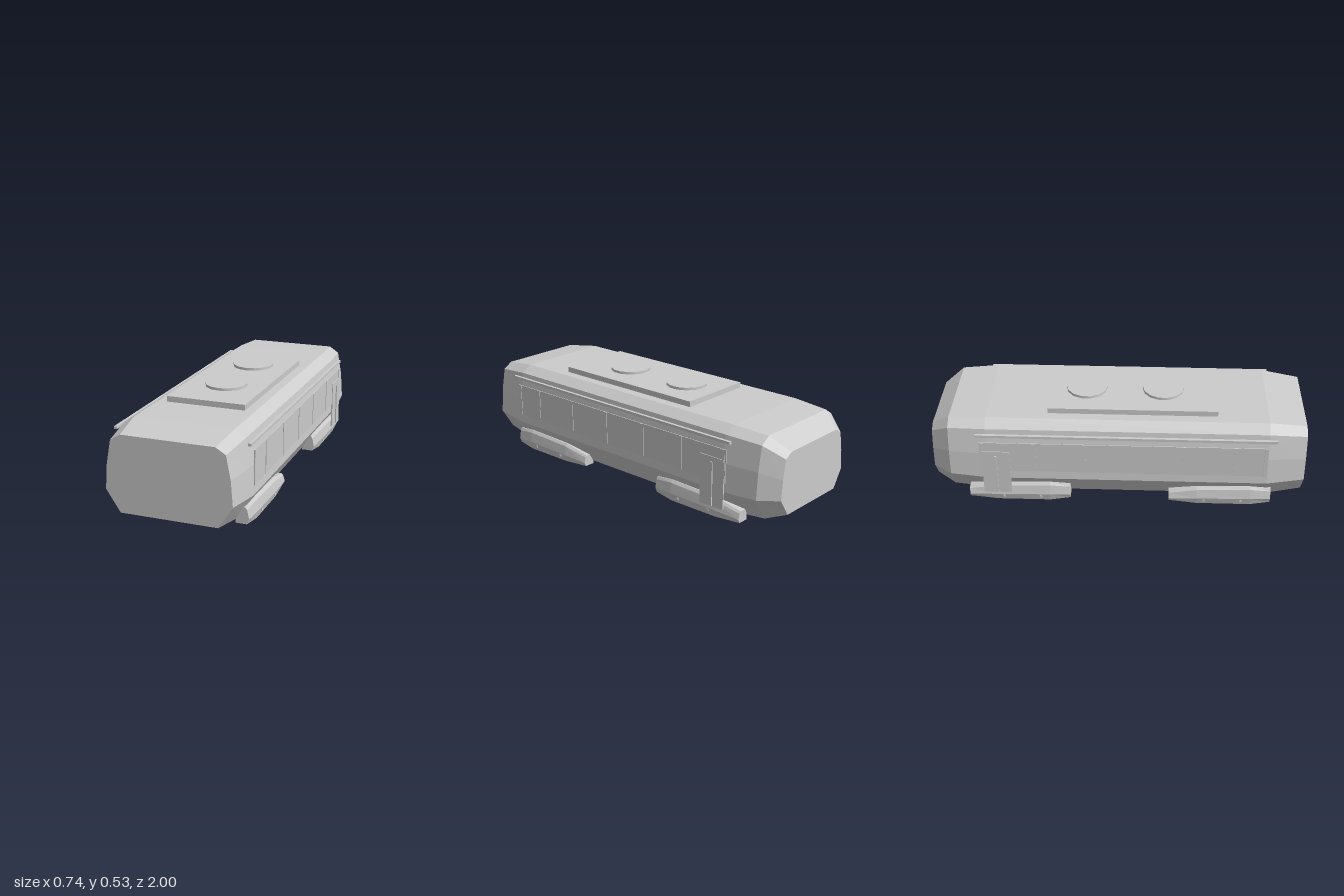
import * as THREE from 'three';

// Closed flat-faced loft; rings run counter-clockwise seen from +z, listed front to back
function loft(rings) {
  const n = rings[0].length, pos = [];
  const tri = (...pts) => pts.forEach(p => pos.push(...p));
  for (let s = 0; s < rings.length - 1; s++) {
    for (let i = 0; i < n; i++) {
      const j = (i + 1) % n;
      const a = rings[s][i], b = rings[s][j], c = rings[s + 1][j], d = rings[s + 1][i];
      tri(a, d, b);
      tri(b, d, c);
    }
  }
  const f = rings[0], r = rings[rings.length - 1];
  for (let i = 1; i < n - 1; i++) {
    tri(f[0], f[i], f[i + 1]);
    tri(r[0], r[i + 1], r[i]);
  }
  const g = new THREE.BufferGeometry();
  g.setAttribute('position', new THREE.Float32BufferAttribute(pos, 3));
  g.computeVertexNormals();
  return g;
}

export function createModel() {
  const model = new THREE.Group();
  model.name = 'hoverBus';
  const grey = new THREE.MeshStandardMaterial({ color: 0xcccccc });
  grey.name = 'lightGrey';

  const add = (name, geometry, parent = model) => {
    const m = new THREE.Mesh(geometry, grey);
    m.name = name;
    parent.add(m);
    return m;
  };
  // Box given by its minimum and maximum corners
  const box = (name, x0, x1, y0, y1, z0, z1, parent) =>
    add(name, new THREE.BoxGeometry(x1 - x0, y1 - y0, z1 - z0), parent)
      .position.set((x0 + x1) / 2, (y0 + y1) / 2, (z0 + z1) / 2);

  // Hull: one half profile, mirrored and scaled along the length
  const half = [[0.277, 0.025], [0.358, 0.155], [0.347, 0.305], [0.322, 0.446], [0.265, 0.483]];
  const profile = [...half, ...half.map(([x, y]) => [-x, y]).reverse()];
  const stations = [ // z, width scale, height scale, centre height
    [1, 0.92, 0.88, 0.254], [0.8, 1, 1, 0.254], [-0.7, 1, 1, 0.254],
    [-0.9, 0.94, 0.95, 0.254], [-1, 0.75, 0.72, 0.235],
  ];
  add('hull', loft(stations.map(([z, sx, sy, cy]) =>
    profile.map(([x, y]) => [x * sx, cy + (y - 0.254) * sy, z]))));

  // Roof unit with two round vents
  box('roofUnit', -0.213, 0.213, 0.47, 0.513, -0.375, 0.53);
  for (const z of [0.24, -0.175]) {
    add('roofVent', new THREE.CylinderGeometry(0.112, 0.112, 0.03, 14)).position.set(0, 0.512, z);
  }

  // Skid pod sections
  const full = [[0.27, 0], [0.345, 0], [0.357, 0.045], [0.347, 0.1], [0.335, 0.115], [0.28, 0.115]];
  const end = [[0.276, 0.012], [0.335, 0.012], [0.346, 0.04], [0.337, 0.085], [0.328, 0.1], [0.285, 0.1]];

  for (const side of [1, -1]) {
    const g = new THREE.Group();
    g.name = side > 0 ? 'leftSide' : 'rightSide';
    model.add(g);
    const sx = (a, b) => side > 0 ? [a, b] : [-b, -a];
    const sideBox = (name, x0, x1, ...rest) => box(name, ...sx(x0, x1), ...rest, g);

    // Skid pods, lower towards the back
    for (const z of [0.83, -0.255]) {
      const ring = (pts, dz, sy) => {
        const r = pts.map(([x, y]) => [side * x, y * sy, z - dz]);
        return side > 0 ? r : r.reverse();
      };
      add('skidPod', loft([ring(end, 0, 1), ring(full, 0.11, 1), ring(full, 0.4, 0.9), ring(end, 0.55, 0.7)]), g);
      for (const dz of [0.16, 0.36]) sideBox('skidStud', 0.34, 0.358, 0.022, 0.034, z - dz - 0.006, z - dz + 0.006);
    }

    // Window band with upright dividers
    sideBox('windowBand', 0.357, 0.361, 0.205, 0.385, -0.73, 0.795);
    for (const z of [0.785, 0.625, 0.355, 0.09, -0.175, -0.44, -0.715]) {
      sideBox('windowDivider', 0.357, 0.364, 0.205, 0.385, z - 0.01, z + 0.01);
    }

    // Door with its grab bar
    sideBox('door', 0.358, 0.365, 0.062, 0.33, -0.72, -0.57);
    sideBox('doorBar', 0.364, 0.371, 0.065, 0.303, -0.652, -0.64);

    // Rail above the windows
    sideBox('sideRail', 0.344, 0.36, 0.417, 0.431, -0.75, 0.838);
  }
  return model;
}
